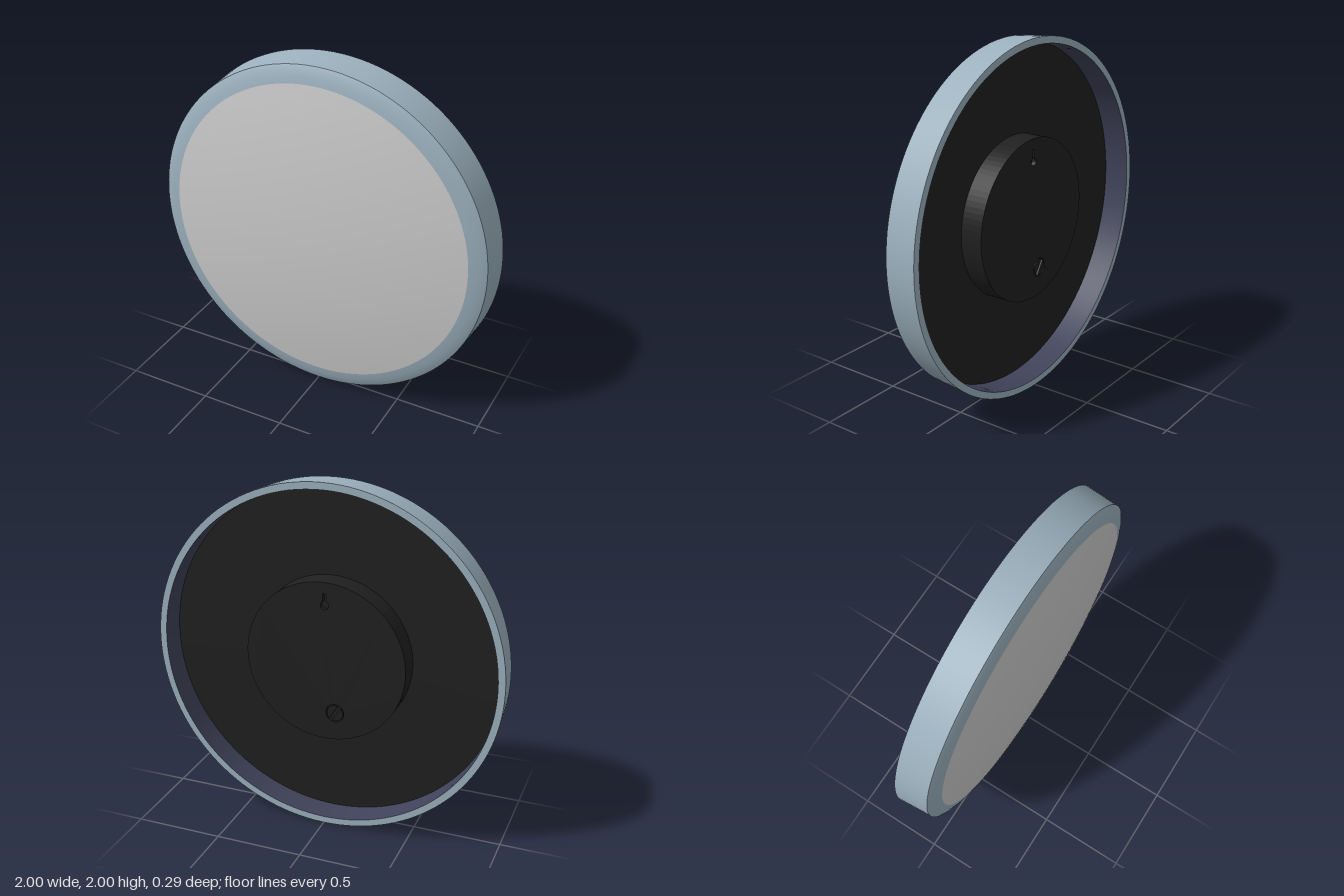
import * as THREE from 'three';

const mat = (name, color, side = THREE.FrontSide) => {
  const m = new THREE.MeshStandardMaterial({ color, side });
  m.name = name;
  return m;
};

export function createModel() {
  const frameBlue = mat('frame blue grey', 0x9cb1be);
  const glassGrey = mat('glass light grey', 0xcccccc);
  const wallNavy = mat('inner wall navy', 0x40435a);
  const backBlack = mat('backing black', 0x202020);

  const model = new THREE.Group();
  const disc = new THREE.Group();
  disc.name = 'roundWallMirror';
  disc.position.y = 1;
  model.add(disc);

  const add = (name, geometry, material) => {
    const mesh = new THREE.Mesh(geometry, material);
    mesh.name = name;
    disc.add(mesh);
    return mesh;
  };
  // Surface of revolution about the z axis from [radius, z] pairs
  const turned = (name, profile, material) => {
    const points = profile.map(([r, z]) => new THREE.Vector2(r, z));
    return add(name, new THREE.LatheGeometry(points, 128).rotateX(Math.PI / 2), material);
  };

  // Domed front: glass and the surrounding bezel
  const dome = [];
  for (let i = 0; i <= 14; i++) {
    const r = 0.89 * (1 - i / 14);
    dome.push([r, 0.145 - 0.07 * (r / 0.89) ** 2]);
  }
  turned('frontGlass', dome, glassGrey);
  turned('frontBezel', [[0.985, 0.045], [0.965, 0.055], [0.93, 0.067], [0.89, 0.075]], frameBlue);

  // Tapered frame, its back lip and the hollow inside
  turned('frameSide', [[0.999, -0.145], [0.985, 0.045]], frameBlue);
  turned('frameBackLip', [[0.96, -0.145], [0.999, -0.145]], frameBlue);
  turned('frameInnerWall', [[0.96, 0.005], [0.96, -0.145]], wallNavy);
  turned('backPlate', [[0, 0.005], [0.96, 0.005]], backBlack);

  // Raised hub with a hanging slot and a round recess
  const knobX = 0.06, knobY = -0.295;
  const hub = new THREE.Shape().absarc(0, 0, 0.46, 0, Math.PI * 2);
  const keyhole = new THREE.Path();
  keyhole.moveTo(-0.01, 0.39);
  keyhole.absarc(0, 0.33, 0.023, 2.0, 1.14 + Math.PI * 2, false);
  keyhole.lineTo(0.01, 0.39);
  keyhole.absarc(0, 0.39, 0.01, 0, Math.PI, false);
  const recess = new THREE.Path().absarc(-knobX, knobY, 0.053, 0, Math.PI * 2);
  hub.holes.push(keyhole, recess);
  const hubGeometry = new THREE.ExtrudeGeometry(hub, { depth: 0.13, bevelEnabled: false, curveSegments: 48 });
  add('backHub', hubGeometry.translate(0, 0, -0.125), backBlack);
  turned('hubRecessFloor', [[0, -0.1], [0.455, -0.1]], backBlack);

  // Slotted knob: two half discs with a gap between them
  const half = new THREE.Shape().absarc(0, 0, 0.047, 0.2, Math.PI - 0.2, false);
  for (const turn of [0, Math.PI]) {
    const geometry = new THREE.ExtrudeGeometry(half, { depth: 0.025, bevelEnabled: false, curveSegments: 20 });
    const knob = add('knobHalf', geometry, backBlack);
    knob.position.set(-knobX, knobY, -0.126);
    knob.rotation.z = turn - 1.0;
  }
  return model;
}
